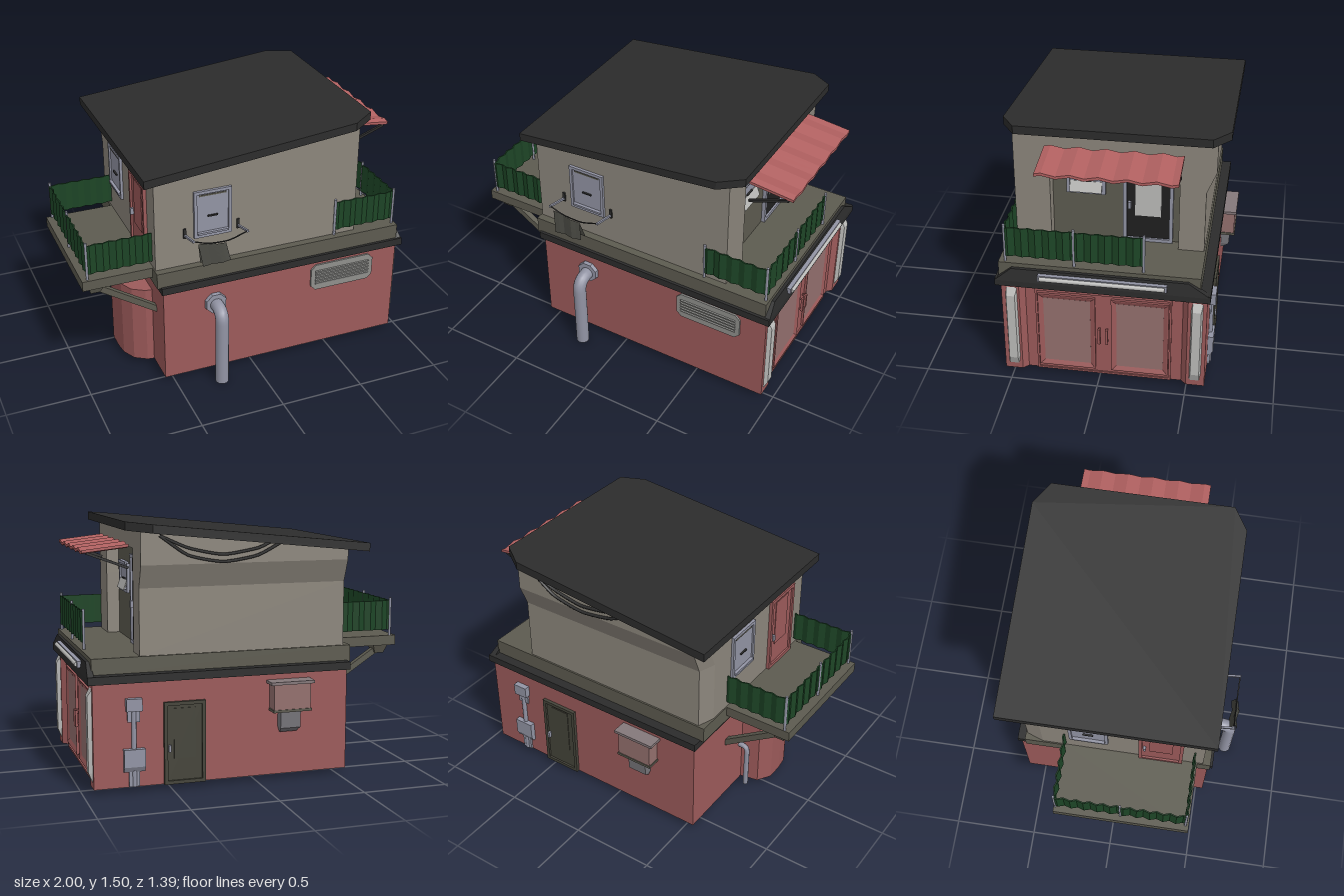
import * as THREE from 'three';

const RED = 0x9c5a5a, WALL = 0x8c867c, STONE = 0x5d5b50, DARK = 0x2c2c2c, GREEN = 0x1d4526,
  METAL = 0x9294a4, WHITE = 0xbcbcba, PANE = 0x94706e, AWNING = 0xb06060, DOOR = 0x45443a;
const V = (x, y, z) => new THREE.Vector3(x, y, z);

export function createModel() {
  const model = new THREE.Group();
  model.name = 'house';

  const add = (name, geo, color, pos = [0, 0, 0], parent = model, flat = true) => {
    const mat = new THREE.MeshStandardMaterial({ color, flatShading: flat, side: THREE.DoubleSide });
    const mesh = new THREE.Mesh(geo, mat);
    mesh.name = name;
    mesh.position.set(...pos);
    parent.add(mesh);
    return mesh;
  };
  // Box given by its limits on each axis
  const box = (name, color, x0, x1, y0, y1, z0, z1, parent) =>
    add(name, new THREE.BoxGeometry(x1 - x0, y1 - y0, z1 - z0), color,
      [(x0 + x1) / 2, (y0 + y1) / 2, (z0 + z1) / 2], parent);
  // Square bar between two points
  const bar = (name, color, a, b, w) => {
    const m = add(name, new THREE.BoxGeometry(w, w, a.distanceTo(b)), color, a.clone().add(b).multiplyScalar(0.5).toArray());
    m.lookAt(b);
  };
  // Upright prism from a plan of [x, z] points, with an optional hole
  const prism = (plan, y0, y1, hole) => {
    const flip = p => p.map(([x, z]) => new THREE.Vector2(x, -z));
    const shape = new THREE.Shape(flip(plan));
    if (hole) shape.holes.push(new THREE.Path(flip(hole)));
    return new THREE.ExtrudeGeometry(shape, { depth: y1 - y0, bevelEnabled: false })
      .rotateX(-Math.PI / 2).translate(0, y0, 0);
  };
  // Skin through rings of [x, y, z] points
  const loft = (rings) => {
    const n = rings[0].length, idx = [];
    for (let i = 0; i < rings.length - 1; i++) for (let j = 0; j < n; j++) {
      const a = i * n + j, b = i * n + (j + 1) % n;
      idx.push(a, b, b + n, a, b + n, a + n);
    }
    const g = new THREE.BufferGeometry();
    g.setAttribute('position', new THREE.Float32BufferAttribute(rings.flat(2), 3));
    g.setIndex(idx);
    const out = g.toNonIndexed();
    out.computeVertexNormals();
    return out;
  };
  const rect = (x0, x1, z0, z1) => [[x0, z1], [x1, z1], [x1, z0], [x0, z0]];
  // Frame facing +z, standing on its own origin
  const frame = (w, h, t, d) => {
    const s = new THREE.Shape([[-w / 2, 0], [w / 2, 0], [w / 2, h], [-w / 2, h]].map(p => new THREE.Vector2(...p)));
    s.holes.push(new THREE.Path([[-w / 2 + t, t], [-w / 2 + t, h - t], [w / 2 - t, h - t], [w / 2 - t, t]].map(p => new THREE.Vector2(...p))));
    return new THREE.ExtrudeGeometry(s, { depth: d, bevelEnabled: false });
  };
  const group = (name, x, y, z, turn = 0) => {
    const g = new THREE.Group();
    g.name = name;
    g.position.set(x, y, z);
    g.rotation.y = turn;
    model.add(g);
    return g;
  };
  const tube = (name, color, pts, r, seg = 24, sides = 12) =>
    add(name, new THREE.TubeGeometry(new THREE.CatmullRomCurve3(pts, false, 'catmullrom', 0.3), seg, r, sides), color, [0, 0, 0], model, false);

  // Ground floor: open-bottomed walls with a recessed garage front
  add('groundFloorWalls', prism([[-0.555, 0.545], [0.942, 0.545], [0.942, 0.445], [0.912, 0.415], [0.912, -0.47],
    [0.942, -0.5], [0.942, -0.605], [-0.555, -0.605]], 0.03, 0.63, rect(-0.53, 0.885, -0.58, 0.52)), RED);
  // Hollow rounded bay on the side wall, closed on top
  const bay = [[-0.555, 0.34], [-0.595, 0.335], [-0.665, 0.29], [-0.705, 0.21], [-0.715, 0.13], [-0.715, 0.03], [-0.665, -0.05], [-0.555, -0.07]];
  const bayInside = bay.map(([x, z]) => [-0.557 + (x + 0.555) * 0.9, 0.135 + (z - 0.135) * 0.92]);
  add('bayWalls', prism(bay, 0.03, 0.51, bayInside), RED);
  add('bayTop', prism(bay, 0.505, 0.522), RED);

  // Garage doors with bevelled panes
  const garage = group('garageDoors', 0.912, 0.03, -0.025, Math.PI / 2);
  add('garageFrame', frame(0.77, 0.555, 0.012, 0.008), RED, [0, 0, 0], garage);
  for (const s of [-1, 1]) {
    const edge = (m, d) => [[-1, -1], [1, -1], [1, 1], [-1, 1]].map(([u, v]) => [u * (0.162 - m), v * (0.245 - m), d]);
    add('doorRim', loft([edge(0, 0), edge(0, 0.014), edge(0.006, 0.014), edge(0.03, 0.003)]), RED, [s * 0.207, 0.28, 0], garage);
    box('doorPane', PANE, s * 0.207 - 0.133, s * 0.207 + 0.133, 0.064, 0.496, 0, 0.004, garage);
    box('doorHandle', RED, s * 0.022 - 0.007, s * 0.022 + 0.007, 0.225, 0.325, 0.015, 0.03, garage);
    for (const y of [0.235, 0.315]) box('handleMount', RED, s * 0.022 - 0.005, s * 0.022 + 0.005, y - 0.005, y + 0.005, 0, 0.02, garage);
  }
  // Light pilasters with tapered ends
  for (const z of [0.49, -0.55]) {
    const ring = (y, x, w) => [[0.935, y, z + w], [x, y, z + w * 0.7], [x, y, z - w * 0.7], [0.935, y, z - w]];
    add('pilaster', loft([ring(0.06, 0.94, 0.035), ring(0.12, 0.965, 0.035), ring(0.55, 0.965, 0.035), ring(0.6, 0.94, 0.035)]), WHITE);
  }

  // Ledge, terrace slab and clipped front fascia with a lamp
  box('ledge', DARK, -0.57, 0.967, 0.62, 0.665, -0.622, 0.572);
  box('terraceSlab', STONE, -0.592, 0.937, 0.66, 0.755, -0.565, 0.555);
  const hood = (y, x, z0, z1) => [[0.93, y, z1], [x, y, z1], [x, y, z0], [0.93, y, z0]];
  add('fascia', loft([hood(0.62, 0.969, -0.622, 0.572), hood(0.655, 0.969, -0.622, 0.572), hood(0.73, 0.955, -0.5, 0.48), hood(0.73, 0.93, -0.5, 0.48)]), DARK);
  add('lampTube', new THREE.CylinderGeometry(0.013, 0.013, 0.69, 10).rotateX(Math.PI / 2), WHITE, [0.984, 0.695, -0.028], model, false);
  box('lampBase', METAL, 0.955, 0.982, 0.676, 0.714, -0.385, 0.328);

  // Upper floor: recessed entrance, stepped back wall and sloping top
  const under = x => 1.32 + 0.1 * (x + 0.65);
  const plan = b => [[-0.585, 0.51], [0.664, 0.51], [0.664, 0.31], [0.585, 0.31], [0.585, -0.41], [0.664, -0.41],
    [0.664, -b], [-0.55, -b], [-0.585, 0.1 - b]];
  const level = (y, b) => plan(b).map(([x, z]) => [x, y ?? under(x), z]);
  add('upperWalls', loft([level(0.75, 0.555), level(1.13, 0.555), level(1.26, 0.608), level(null, 0.608)]), WALL);
  box('lintel', WALL, 0.58, 0.664, 1.34, 1.45, -0.41, 0.31);
  box('recessWall', STONE, 0.58, 0.588, 0.755, 1.34, -0.41, 0.31);

  // Sloping roof with clipped front corners
  const roof = prism([[-0.655, 0.568], [0.61, 0.568], [0.742, 0.485], [0.742, -0.585], [0.61, -0.675], [-0.655, -0.675]], 1.308, 1.356);
  const rp = roof.attributes.position;
  for (let i = 0; i < rp.count; i++) rp.setY(i, rp.getY(i) + 0.101 * (rp.getX(i) + 0.655));
  roof.computeVertexNormals();
  add('roof', roof, DARK);

  // Rippled awning on two braces
  const awning = new THREE.BoxGeometry(0.262, 0.016, 0.762, 1, 1, 20);
  const ap = awning.attributes.position;
  for (let i = 0; i < ap.count; i++)
    ap.setY(i, ap.getY(i) - 0.11 * ap.getX(i) + 0.008 * Math.sin(ap.getZ(i) / 0.1524 * 2 * Math.PI));
  awning.computeVertexNormals();
  add('awning', awning, AWNING, [0.822, 1.342, -0.052]);
  for (const z of [0.32, -0.415]) bar('awningBrace', DARK, V(0.69, 1.23, z), V(0.925, 1.318, z), 0.015);

  // Windows: framed shutter with slot, handle and sill
  const makeWindow = (name, w, h, x, y, z, turn) => {
    const g = group(name, x, y, z, turn);
    add('windowFrame', frame(w, h, 0.018, 0.018), METAL, [0, 0, 0], g);
    box('shutter', METAL, -w / 2 + 0.015, w / 2 - 0.015, 0.015, h - 0.015, 0, 0.008, g);
    box('shutterSlot', STONE, -w * 0.36, w * 0.36, h - 0.035, h - 0.026, 0.008, 0.012, g);
    box('shutterHandle', DARK, -0.03, 0.03, h * 0.43, h * 0.43 + 0.008, 0.008, 0.018, g);
    box('sill', METAL, -w / 2 + 0.02, w / 2 - 0.02, 0.02, 0.032, 0, 0.026, g);
    return g;
  };
  makeWindow('frontWindow', 0.225, 0.29, -0.243, 0.92, 0.508, 0);
  makeWindow('sideWindow', 0.23, 0.28, -0.583, 0.93, -0.17, -Math.PI / 2);
  const entryWindow = makeWindow('entryWindow', 0.22, 0.175, 0.586, 1.035, 0.12, Math.PI / 2);
  add('tray', new THREE.BoxGeometry(0.18, 0.065, 0.006), WHITE, [0, 0.045, 0.022], entryWindow).rotation.x = -0.35;
  box('windowHood', METAL, -0.09, 0.09, 0.168, 0.185, 0, 0.026, entryWindow);

  // Doors
  const makeDoor = (name, w, h, frameColor, color, paneColor, x, y, z, turn) => {
    const g = group(name, x, y, z, turn);
    add('doorFrame', frame(w, h, 0.02, 0.022), frameColor, [0, 0, 0], g);
    box('doorLeaf', color, -w / 2 + 0.015, w / 2 - 0.015, 0, h - 0.015, 0, 0.01, g);
    box('doorPanel', paneColor, -w * 0.26, w * 0.26, h * 0.31, h * 0.92, 0.01, 0.014, g);
    box('doorHandle', METAL, -w * 0.4, -w * 0.34, h * 0.4, h * 0.48, 0.01, 0.03, g);
  };
  makeDoor('entryDoor', 0.28, 0.525, METAL, 0x202020, WHITE, 0.588, 0.755, -0.23, Math.PI / 2);
  makeDoor('balconyDoor', 0.26, 0.475, RED, RED, RED, -0.583, 0.755, 0.255, -Math.PI / 2);
  makeDoor('backDoor', 0.24, 0.47, DOOR, DOOR, DOOR, 0.425, 0.03, -0.603, Math.PI);

  // Side balcony on braces
  box('balconySlab', STONE, -1, -0.585, 0.695, 0.755, -0.325, 0.475);
  for (const z of [-0.25, 0.4]) {
    bar('balconyBrace', STONE, V(-0.92, 0.675, z), V(-0.545, 0.43, z), 0.036);
    add('braceHead', new THREE.CylinderGeometry(0.068, 0.04, 0.055, 4, 1).rotateY(Math.PI / 4), STONE, [-0.915, 0.668, z]);
  }

  // Corrugated fences with posts
  const fence = (x0, z0, x1, z1, posts) => {
    const len = Math.hypot(x1 - x0, z1 - z0), n = Math.round(len / 0.076) * 4;
    const g = new THREE.BoxGeometry(len, 0.18, 0.008, n, 1, 1), p = g.attributes.position;
    for (let i = 0; i < p.count; i++)
      p.setZ(i, p.getZ(i) + 0.006 * Math.sin((p.getX(i) / len + 0.5) * n * Math.PI / 2));
    g.computeVertexNormals();
    add('fence', g, GREEN, [(x0 + x1) / 2, 0.88, (z0 + z1) / 2]).rotation.y = -Math.atan2(z1 - z0, x1 - x0);
    for (const t of posts)
      add('fencePost', new THREE.CylinderGeometry(0.008, 0.008, 0.235, 8), METAL, [x0 + (x1 - x0) * t, 0.87, z0 + (z1 - z0) * t], model, false);
  };
  fence(-0.965, 0.455, -0.585, 0.455, [0]);
  fence(-0.965, -0.315, -0.585, -0.315, [0]);
  fence(-0.965, -0.315, -0.965, 0.455, [0.5]);
  fence(0.53, 0.518, 0.917, 0.518, [0, 1]);
  fence(0.917, 0.518, 0.917, -0.25, [0.5, 1]);

  // Front drain pipe and flange
  tube('drainPipe', METAL, [V(-0.24, 0, 0.655), V(-0.24, 0.2, 0.655), V(-0.24, 0.42, 0.655), V(-0.24, 0.465, 0.635), V(-0.24, 0.48, 0.6), V(-0.24, 0.48, 0.54)], 0.039, 32, 16);
  add('pipeFlange', new THREE.CylinderGeometry(0.065, 0.068, 0.025, 8).rotateX(Math.PI / 2).rotateZ(Math.PI / 8), METAL, [-0.24, 0.485, 0.556]);

  // Front vent with clipped corners and slats
  const vent = group('vent', 0.578, 0.505, 0.54);
  const corners = [[-0.205, -0.055], [-0.175, -0.085], [0.175, -0.085], [0.205, -0.055], [0.205, 0.055], [0.175, 0.085], [-0.175, 0.085], [-0.205, 0.055]];
  add('ventPlate', new THREE.ExtrudeGeometry(new THREE.Shape(corners.map(p => new THREE.Vector2(...p))), { depth: 0.016, bevelEnabled: false }), 0x8f8f8c, [0, 0, 0], vent);
  for (let i = 0; i < 5; i++)
    add('slat', new THREE.BoxGeometry(0.355, 0.014, 0.008), 0x8f8f8c, [0, -0.04 + i * 0.02, 0.018], vent).rotation.x = 0.4;

  // Clothes line with a hanging cloth
  for (const x of [-0.41, -0.088]) {
    bar('lineArm', METAL, V(x, 0.945, 0.5), V(x, 0.985, 0.66), 0.012);
    box('armBracket', DARK, x - 0.008, x + 0.008, 0.93, 0.99, 0.508, 0.52);
  }
  tube('line', DARK, [V(-0.41, 0.985, 0.655), V(-0.32, 0.955, 0.655), V(-0.2, 0.95, 0.655), V(-0.088, 0.985, 0.655)], 0.004, 12, 5);
  const cloth = new THREE.PlaneGeometry(0.17, 0.24, 6, 8), cp = cloth.attributes.position;
  for (let i = 0; i < cp.count; i++) {
    const t = cp.getY(i) / 0.12, x = cp.getX(i);
    cp.setXYZ(i, x + 0.02 * Math.abs(t), 0.06 - 0.12 * Math.abs(t) - 0.18 * x * (1 - Math.abs(t)), t * 0.022 + 0.006 * Math.sin(x * 60));
  }
  cloth.computeVertexNormals();
  add('cloth', cloth, 0x45453f, [-0.3, 0.89, 0.655]);

  // Back wall: vent box, meter with conduit, hanging cables
  box('ventBox', PANE, -0.3, -0.08, 0.42, 0.57, -0.685, -0.6);
  box('ventBoxLid', 0x84787a, -0.32, -0.06, 0.57, 0.587, -0.695, -0.6);
  box('ventBoxBase', STONE, -0.305, -0.075, 0.41, 0.425, -0.69, -0.6);
  const duct = (y, w, z) => [[-0.19 - w, y, -0.6], [-0.19 + w, y, -0.6], [-0.19 + w, y, z], [-0.19 - w, y, z]];
  add('ventDuct', loft([duct(0.28, 0.05, -0.605), duct(0.28, 0.05, -0.615), duct(0.31, 0.06, -0.655), duct(0.41, 0.06, -0.66)]), 0x77757a);
  box('meter', METAL, 0.67, 0.76, 0.465, 0.535, -0.64, -0.6);
  box('meterPlate', METAL, 0.68, 0.75, 0.4, 0.465, -0.615, -0.6);
  add('conduit', new THREE.CylinderGeometry(0.014, 0.014, 0.46, 8), METAL, [0.715, 0.265, -0.612], model, false);
  const junction = (y, z) => [[0.655, y, -0.6], [0.775, y, -0.6], [0.775, y, z], [0.655, y, z]];
  add('junctionBox', loft([junction(0.12, -0.605), junction(0.12, -0.62), junction(0.15, -0.637), junction(0.25, -0.637), junction(0.25, -0.601)]), METAL);
  box('conduitFoot', METAL, 0.685, 0.745, 0.035, 0.12, -0.618, -0.6);
  for (const [sag, end] of [[1.27, -0.15], [1.31, -0.08]])
    tube('cable', DARK, [V(0.56, 1.42, -0.615), V(0.4, sag + 0.04, -0.617), V(0.2, sag, -0.617), V(0, sag + 0.03, -0.617), V(end, 1.375, -0.615)], 0.009, 24, 6);

  // Small side outlet pipe
  tube('outletPipe', METAL, [V(-0.61, 0.02, -0.1), V(-0.61, 0.15, -0.1), V(-0.61, 0.28, -0.1), V(-0.595, 0.305, -0.1), V(-0.55, 0.31, -0.1)], 0.016, 20, 8);

  return model;
}
